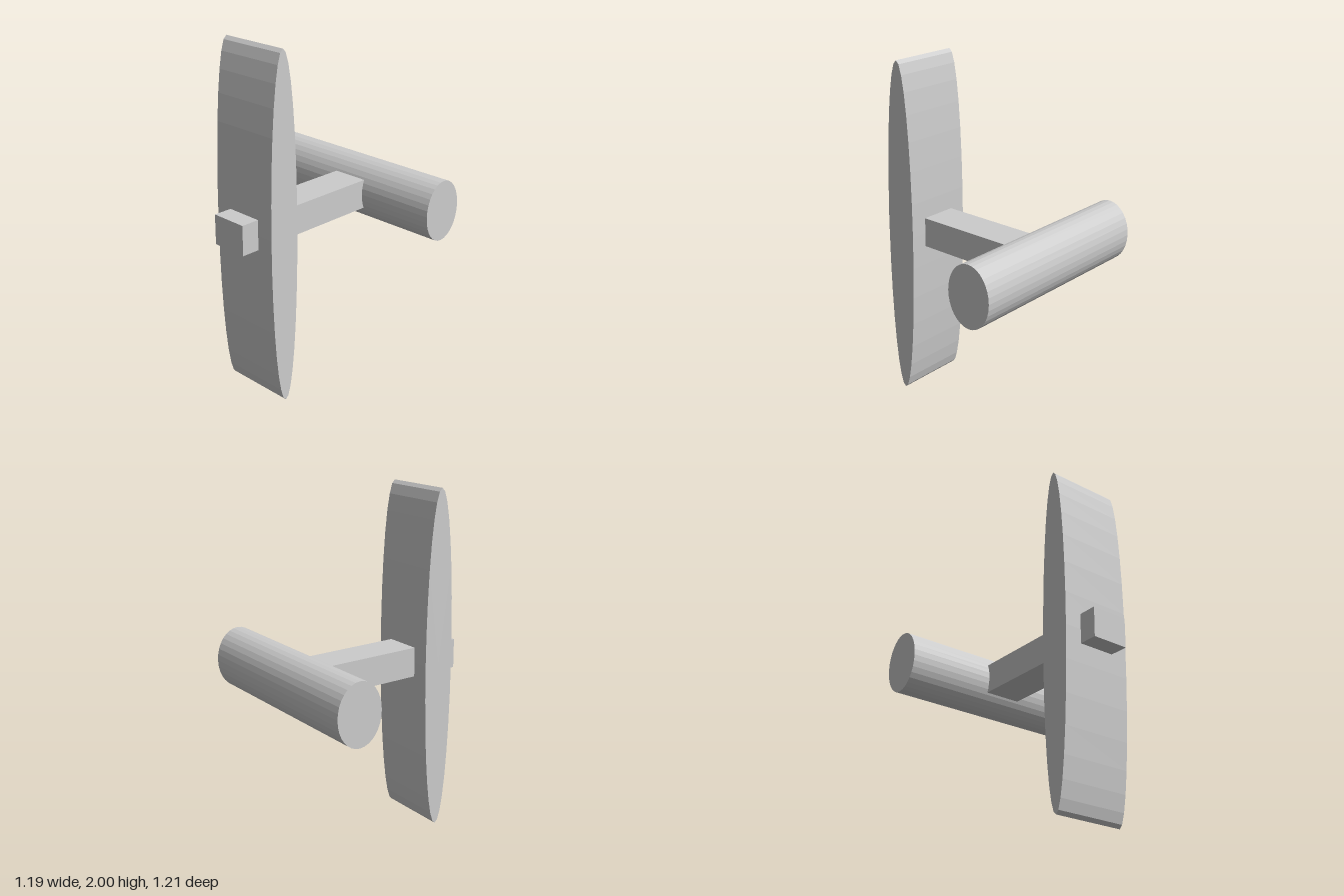
import * as THREE from 'three';

export function createModel() {
  const group = new THREE.Group();
  const material = new THREE.MeshStandardMaterial({ color: 0xcccccc, flatShading: true });

  const add = (name, geometry, x, y, z) => {
    const mesh = new THREE.Mesh(geometry, material);
    mesh.name = name;
    mesh.position.set(x, y, z);
    group.add(mesh);
  };

  // Faceted cylinder along z with an elliptical section
  const ellipticRod = (rx, ry, length) =>
    new THREE.CylinderGeometry(1, 1, length, 32).rotateX(Math.PI / 2).scale(rx, ry, 1);

  // Tall, thin elliptical blade
  add('blade', ellipticRod(0.094, 1, 0.42), -0.393, 1, 0.018);

  // Square bar running through the blade and into the crossbar
  add('arm', new THREE.BoxGeometry(1.04, 0.172, 0.217), -0.075, 1.004, 0.018);

  // Crossbar at the end of the arm
  add('crossbar', ellipticRod(0.135, 0.177, 1.205), 0.457, 1.004, 0);

  return group;
}
